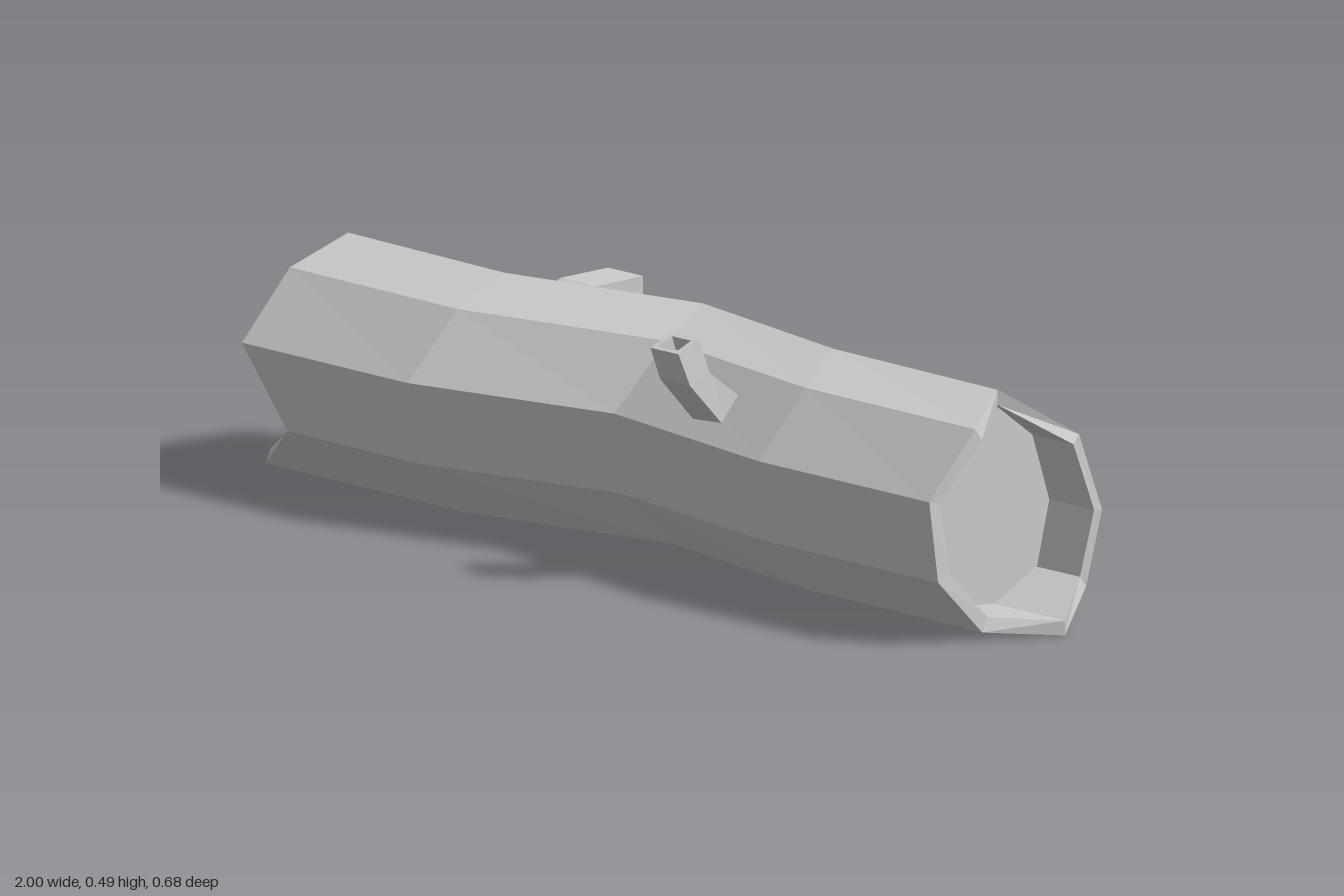
import * as THREE from 'three';

const material = new THREE.MeshStandardMaterial({ color: 0xcccccc, flatShading: true });

// Skin over rings of points, closed at both ends with a fan
function loft(name, rings) {
  const pos = [];
  const tri = (...pts) => pts.forEach((p) => pos.push(p.x, p.y, p.z));
  const n = rings[0].length;
  const centre = (ring) =>
    ring.reduce((sum, p) => sum.add(p), new THREE.Vector3()).divideScalar(n);
  const first = rings[0], last = rings[rings.length - 1];
  const c0 = centre(first), c1 = centre(last);
  for (let j = 0; j < n; j++) {
    const k = (j + 1) % n;
    for (let i = 0; i < rings.length - 1; i++) {
      const a = rings[i], b = rings[i + 1];
      tri(a[j], a[k], b[k]);
      tri(a[j], b[k], b[j]);
    }
    tri(c0, first[k], first[j]);
    tri(c1, last[j], last[k]);
  }
  const geometry = new THREE.BufferGeometry();
  geometry.setAttribute('position', new THREE.Float32BufferAttribute(pos, 3));
  geometry.computeVertexNormals();
  const mesh = new THREE.Mesh(geometry, material);
  mesh.name = name;
  return mesh;
}

// Nine-sided log section as [z, y], from the top over the front to the back
const MID = 0.225;
const PROFILE = [
  [-0.05, 0.45], [0.11, 0.415], [0.23, 0.29], [0.21, 0.13], [0.095, 0.015],
  [-0.05, 0], [-0.19, 0.06], [-0.23, 0.205], [-0.175, 0.36],
];

// Section with one x per corner, moved sideways by dz
function logRing(xs, dz, widen = 1, inset = 1) {
  return PROFILE.map(([z, y], j) => new THREE.Vector3(
    Array.isArray(xs) ? xs[j] : xs, MID + (y - MID) * inset, dz + z * widen * inset));
}

// Jagged ends and slightly uneven bends: x of each corner
const LEFT_END = [-0.935, -0.92, -0.92, -0.82, -1, -0.94, -0.92, -0.89, -0.97];
const LEFT_BEND = [-0.5, -0.46, -0.47, -0.46, -0.46, -0.46, -0.45, -0.44, -0.5];
const MID_BEND = [-0.06, 0, -0.02, -0.02, 0, 0, 0, 0.02, -0.02];
const RIGHT_BEND = [0.37, 0.45, 0.44, 0.44, 0.45, 0.45, 0.45, 0.45, 0.45];
const RIGHT_END = [0.82, 0.91, 0.9, 0.905, 0.915, 1, 0.925, 0.93, 0.92];

// Square stub with a hollow tip; each step is [x, y, z, angle, width, thickness]
function branch(name, steps) {
  const ring = ([x, y, z, angle, w, t], scale = 1, back = 0) => {
    const a = THREE.MathUtils.degToRad(angle);
    const dir = new THREE.Vector3(0, Math.sin(a), Math.cos(a));
    const side = new THREE.Vector3(1, 0, 0);
    const up = dir.clone().cross(side);
    return [[1, 1], [-1, 1], [-1, -1], [1, -1]].map(([s, u]) =>
      new THREE.Vector3(x, y, z)
        .addScaledVector(side, (s * w * scale) / 2)
        .addScaledVector(up, (u * t * scale) / 2)
        .addScaledVector(dir, -back));
  };
  const tip = steps[steps.length - 1];
  return loft(name, [...steps.map((s) => ring(s)), ring(tip, 0.68), ring(tip, 0.68, 0.03)]);
}

export function createModel() {
  const group = new THREE.Group();
  group.name = 'hollowLog';

  // Trunk: recessed end, rim, bark, rim, recessed end
  group.add(loft('trunk', [
    logRing(-0.81, 0.08, 1.08, 0.87),
    logRing(LEFT_END, 0.08, 1.08, 0.87),
    logRing(LEFT_END, 0.08, 1.08),
    logRing(LEFT_BEND, 0.095, 1.04),
    logRing(MID_BEND, 0),
    logRing(RIGHT_BEND, 0.08, 0.98),
    logRing(RIGHT_END, 0.09, 0.95),
    logRing(RIGHT_END, 0.085, 0.96, 0.87),
    logRing(0.81, 0.085, 0.96, 0.87),
  ]));

  // Front stub rises, back stub levels out
  group.add(branch('frontBranch', [
    [0.24, 0.33, 0.2, 42, 0.085, 0.07],
    [0.23, 0.418, 0.292, 74, 0.08, 0.056],
    [0.225, 0.485, 0.315, 70, 0.075, 0.058],
  ]));
  group.add(branch('backBranch', [
    [-0.56, 0.28, -0.09, 155, 0.1, 0.085],
    [-0.557, 0.337, -0.222, 170, 0.097, 0.08],
    [-0.555, 0.337, -0.34, 180, 0.093, 0.076],
  ]));
  return group;
}
